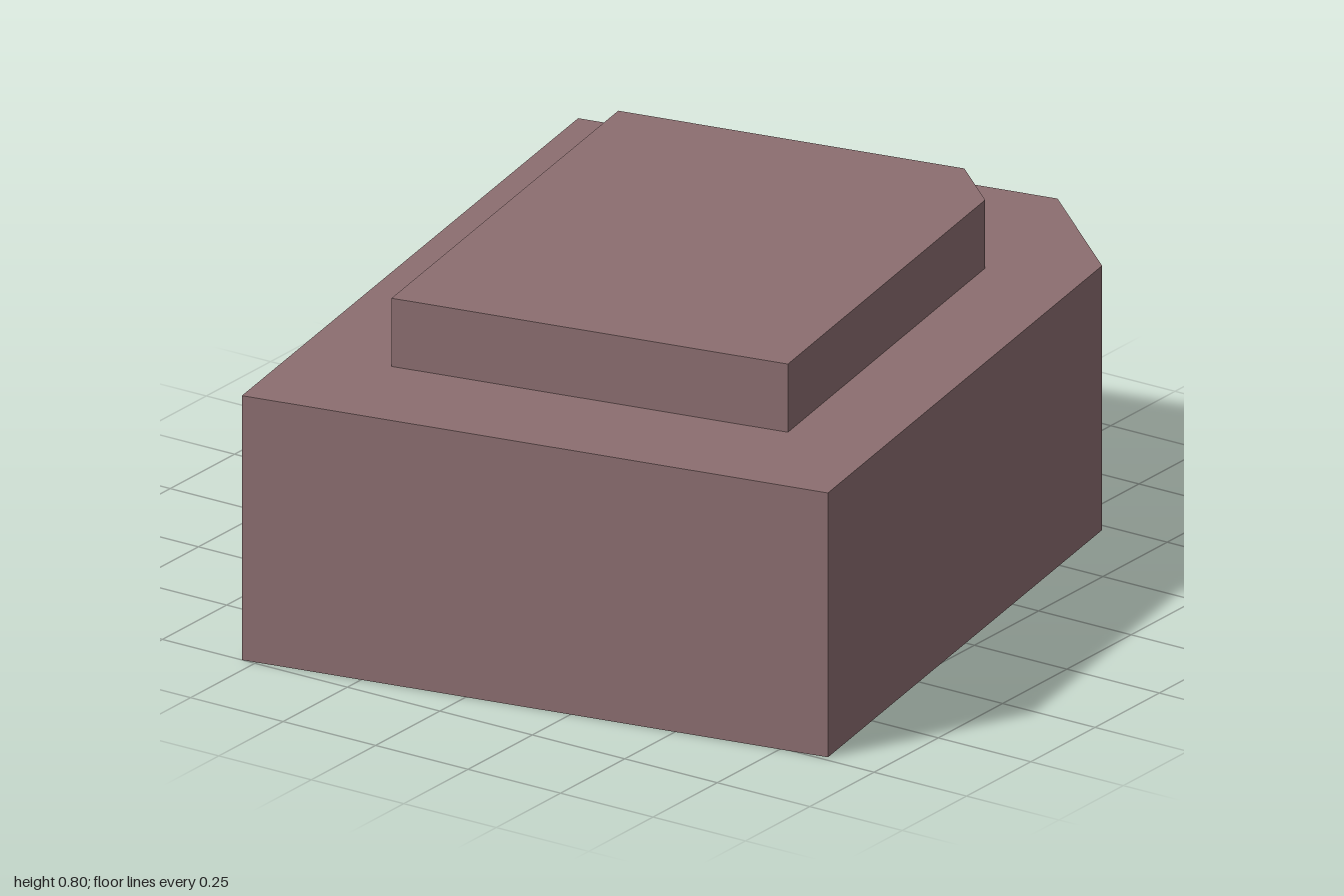
import * as THREE from 'three';

// Upright prism from a plan outline of [x, z] corners
function prism(name, outline, bottom, top, material) {
  const shape = new THREE.Shape(outline.map(([x, z]) => new THREE.Vector2(x, -z)));
  const geometry = new THREE.ExtrudeGeometry(shape, { depth: top - bottom, bevelEnabled: false });
  geometry.rotateX(-Math.PI / 2);
  geometry.translate(0, bottom, 0);
  const mesh = new THREE.Mesh(geometry, material);
  mesh.name = name;
  return mesh;
}

export function createModel() {
  const model = new THREE.Group();
  model.name = 'building';
  const wall = new THREE.MeshStandardMaterial({ color: 0x8c6e70 });
  wall.name = 'dusty mauve';

  // Main block with one cut back corner
  const block = [[-0.535, 1], [0.865, 0.735], [0.59, -0.727], [0.28, -1], [-0.868, -0.787]];
  model.add(prism('mainBlock', block, 0, 0.632, wall));

  // Set-back upper storey repeating the cut corner
  const storey = [[-0.362, 0.667], [0.585, 0.488], [0.385, -0.567], [0.24, -0.695], [-0.588, -0.54]];
  model.add(prism('upperStorey', storey, 0.632, 0.795, wall));

  return model;
}
